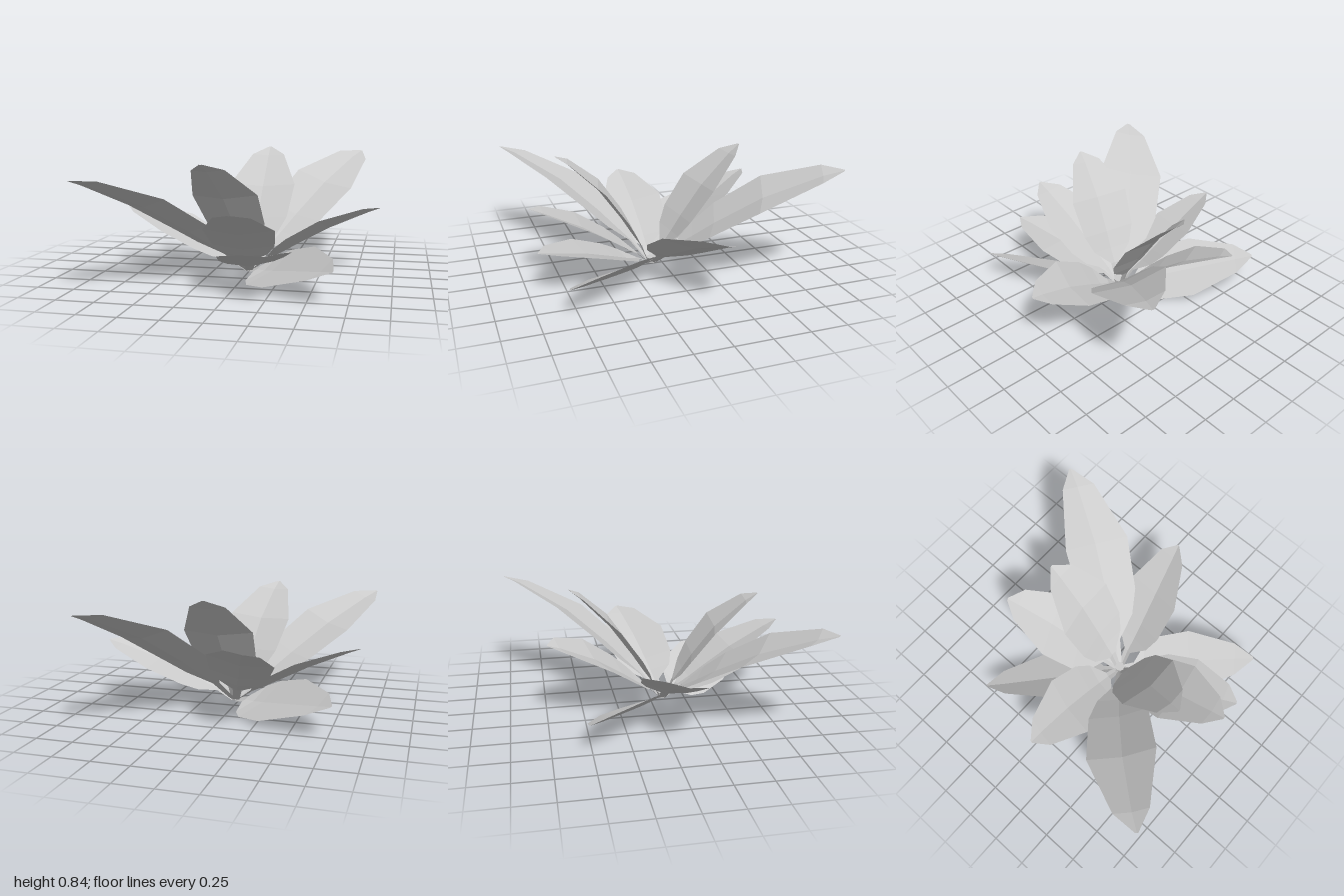
import * as THREE from 'three';

const material = new THREE.MeshStandardMaterial({ color: 0xcccccc, flatShading: true, side: THREE.DoubleSide });
const CENTRE = new THREE.Vector3(0.01, 0.03, 0.085);

// Outline of every leaf: [position along the rib, half width as a share of the widest]
const OUTLINE = [[0, 0.1], [0.11, 0.14], [0.2, 0.66], [0.31, 0.9], [0.56, 1], [0.88, 0.5], [1, 0.04]];

// A creased leaf: its rib runs from the centre through mid to tip; side is the widest half width
function makeLeaf(name, mid, side, tip) {
  const m = new THREE.Vector3(...mid);
  const s = new THREE.Vector3(...side);
  const end = new THREE.Vector3(...tip);
  const out = m.clone().sub(CENTRE).setY(0).setLength(0.02);
  const base = CENTRE.clone().add(out);
  // Crease drops to the underside of the blade
  const down = end.clone().sub(base).cross(s).normalize();
  if (down.y > 0) down.negate();

  const positions = [];
  for (const [t, w] of OUTLINE) {
    const rib = base.clone().multiplyScalar((1 - t) * (1 - 2 * t))
      .addScaledVector(m, 4 * t * (1 - t))
      .addScaledVector(end, t * (2 * t - 1));
    positions.push(...rib.clone().addScaledVector(s, -w).toArray());
    positions.push(...rib.clone().addScaledVector(down, 0.035 * w).toArray());
    positions.push(...rib.clone().addScaledVector(s, w).toArray());
  }
  const index = [];
  for (let r = 0; r < OUTLINE.length - 1; r++) {
    for (let c = 0; c < 2; c++) {
      const a = r * 3 + c, b = a + 1, d = a + 3, e = a + 4;
      index.push(a, b, e, a, e, d);
    }
  }
  const geometry = new THREE.BufferGeometry();
  geometry.setAttribute('position', new THREE.Float32BufferAttribute(positions, 3));
  geometry.setIndex(index);
  geometry.computeVertexNormals();
  const mesh = new THREE.Mesh(geometry, material);
  mesh.name = name;
  return mesh;
}

export function createModel() {
  const group = new THREE.Group();
  group.name = 'leafRosette';

  // Leaves: name, middle of the blade, widest half width, tip
  const leaves = [
    ['backLeftLargeLeaf', [0.42, 0.57, -0.465], [0.21, -0.055, 0.105], [0.71, 0.8, -1.0]],
    ['backUprightLeaf', [0.035, 0.55, -0.22], [0.235, 0, -0.02], [0.04, 0.85, -0.56]],
    ['backLeaf', [-0.14, 0.41, -0.35], [0.21, 0.05, -0.08], [-0.26, 0.565, -0.73]],
    ['backRightLowLeaf', [-0.36, 0.145, -0.21], [-0.13, 0.11, 0.16], [-0.77, 0.22, -0.51]],
    ['rightLeaf', [-0.46, 0.32, 0.07], [0.05, 0.03, -0.21], [-0.88, 0.465, 0.07]],
    ['frontRightLargeLeaf', [-0.51, 0.52, 0.53], [0.175, 0.045, 0.15], [-0.89, 0.735, 0.99]],
    ['frontUprightLeaf', [-0.075, 0.55, 0.37], [0.225, 0.01, 0.03], [-0.16, 0.82, 0.71]],
    ['frontMiddleLeaf', [0.04, 0.37, 0.52], [0.23, 0, -0.02], [0.07, 0.55, 0.94]],
    ['frontLowLeaf', [0.13, 0.235, 0.53], [0.23, 0.01, -0.06], [0.28, 0.32, 0.93]],
    ['frontLeftLowLeaf', [0.31, 0.145, 0.42], [0.15, 0.11, -0.135], [0.66, 0.22, 0.81]],
    ['leftLeaf', [0.48, 0.33, -0.03], [0.03, -0.05, -0.215], [0.9, 0.465, -0.12]],
  ];
  for (const leaf of leaves) group.add(makeLeaf(...leaf));

  // Small crown where the stems meet
  const crown = new THREE.Mesh(new THREE.CylinderGeometry(0.035, 0.03, 0.04, 8), material);
  crown.position.set(CENTRE.x, 0.045, CENTRE.z);
  crown.name = 'crown';
  group.add(crown);

  return group;
}
